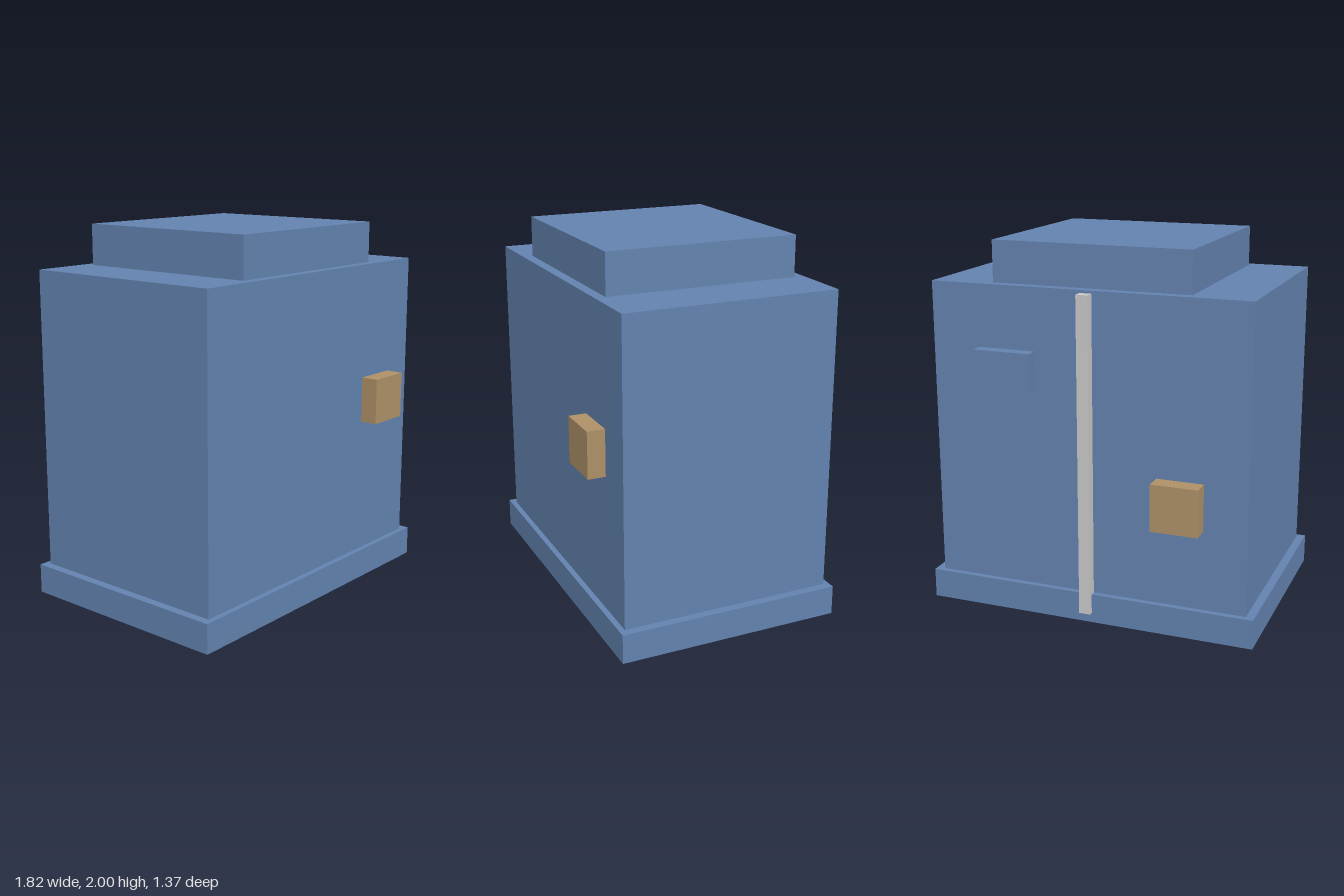
import * as THREE from 'three';

const material = (name, color) => {
  const m = new THREE.MeshStandardMaterial({ color });
  m.name = name;
  return m;
};

export function createModel() {
  const blue = material('blue paint', 0x6282ae);
  const tan = material('tan box', 0xad9067);
  const grey = material('light grey', 0xc8c8c8);

  const model = new THREE.Group();
  model.name = 'cabinet';

  // Box given by its extents along each axis
  const box = (name, mat, [x0, x1], [y0, y1], [z0, z1]) => {
    const mesh = new THREE.Mesh(new THREE.BoxGeometry(x1 - x0, y1 - y0, z1 - z0), mat);
    mesh.position.set((x0 + x1) / 2, (y0 + y1) / 2, (z0 + z1) / 2);
    mesh.name = name;
    model.add(mesh);
  };

  // Stacked main volumes
  box('base', blue, [-0.912, 0.912], [0, 0.16], [-0.611, 0.611]);
  box('body', blue, [-0.866, 0.866], [0.16, 1.78], [-0.58, 0.58]);
  box('roofBlock', blue, [-0.539, 0.539], [1.78, 2], [-0.524, 0.524]);

  // Small boxes standing just off the front and back walls
  box('frontBox', tan, [0.412, 0.665], [0.91, 1.16], [0.588, 0.683]);
  box('backBox', tan, [-0.634, -0.381], [0.593, 0.845], [-0.683, -0.588]);

  // Back wall fittings
  box('backPanel', blue, [0.286, 0.602], [1.26, 1.447], [-0.649, -0.58]);
  box('backConduit', grey, [-0.032, 0.032], [0.052, 1.765], [-0.632, -0.58]);

  return model;
}
